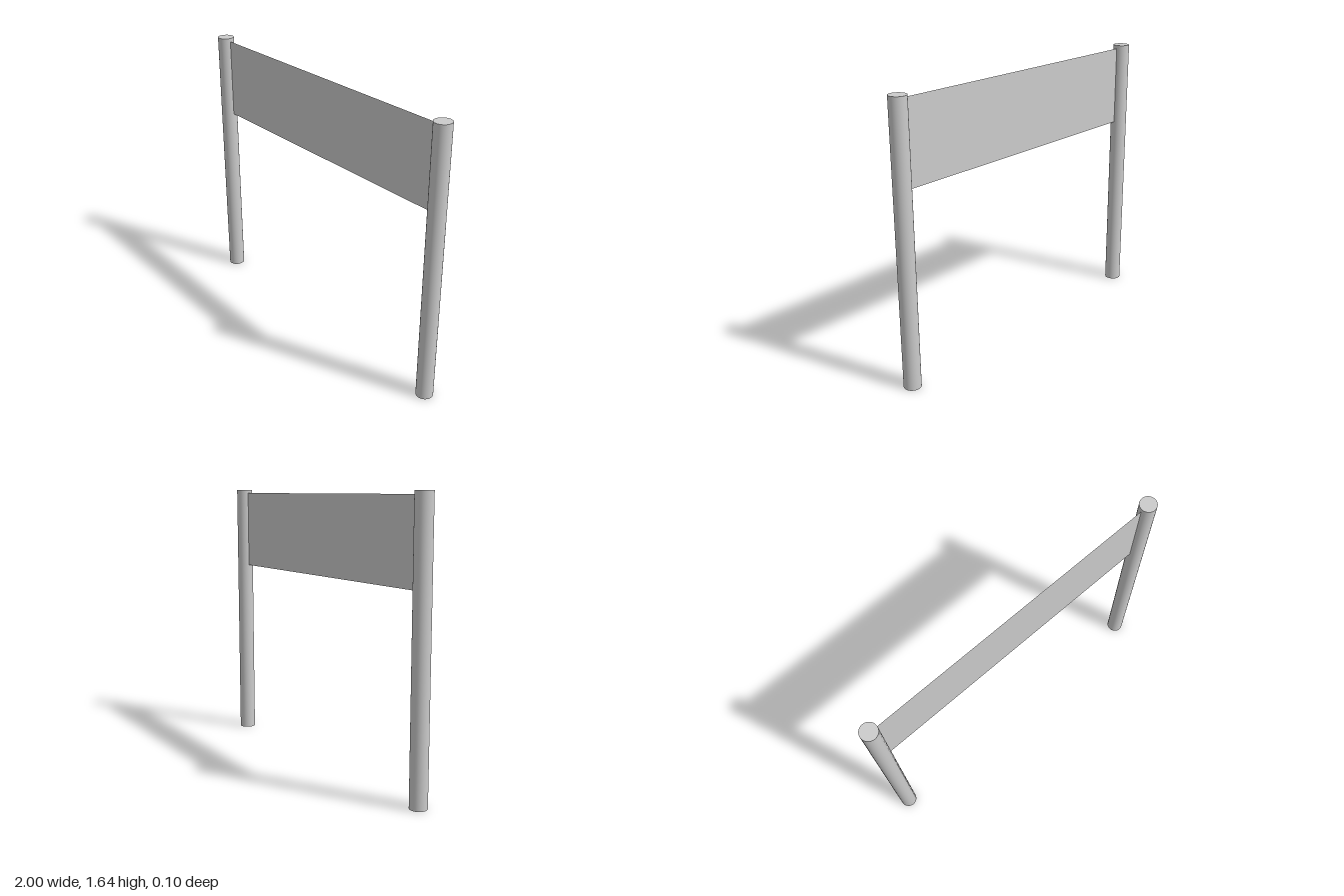
import * as THREE from 'three';

const POST_RADIUS = 0.05;
const POST_HEIGHT = 1.645;
const POST_X = 0.95;
const PANEL_BOTTOM = 1.14;
const PANEL_TOP = 1.625;

export function createModel() {
  const group = new THREE.Group();
  group.name = 'postsWithPanel';
  const grey = new THREE.MeshStandardMaterial({ color: 0xcccccc });
  const thinGrey = new THREE.MeshStandardMaterial({ color: 0xcccccc, side: THREE.DoubleSide });

  // Two round upright posts
  const postGeometry = new THREE.CylinderGeometry(POST_RADIUS, POST_RADIUS, POST_HEIGHT, 32);
  for (const [name, side] of [['leftPost', 1], ['rightPost', -1]]) {
    const post = new THREE.Mesh(postGeometry, grey);
    post.name = name;
    post.position.set(side * POST_X, POST_HEIGHT / 2, 0);
    group.add(post);
  }

  // Thin flat panel stretched between the posts, its ends just inside them
  const panel = new THREE.Mesh(
    new THREE.PlaneGeometry(2 * (POST_X - POST_RADIUS) + 0.02, PANEL_TOP - PANEL_BOTTOM),
    thinGrey
  );
  panel.name = 'panel';
  panel.position.y = (PANEL_TOP + PANEL_BOTTOM) / 2;
  group.add(panel);

  return group;
}
